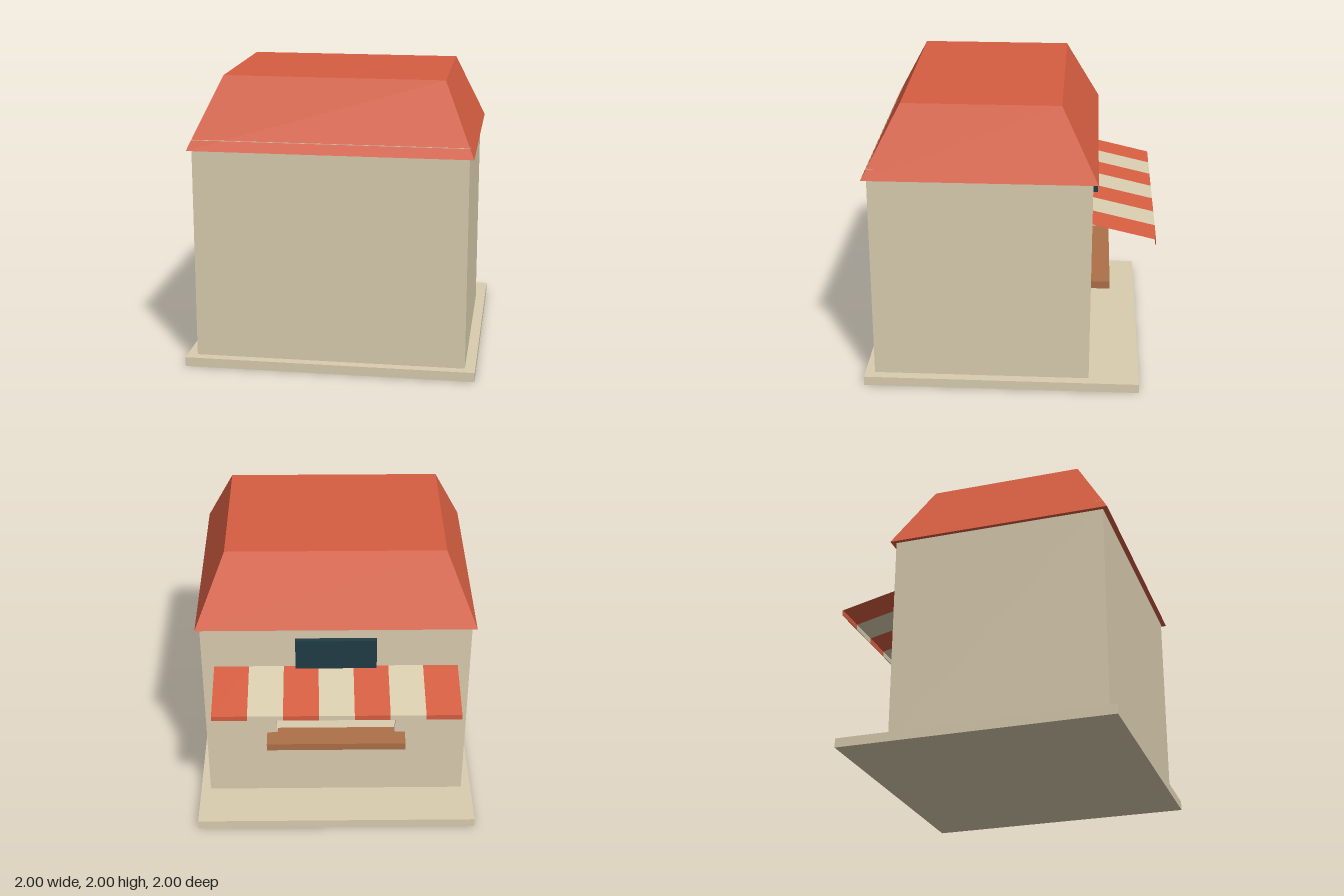
import * as THREE from 'three';

const mat = (name, color, extra = {}) => {
  const m = new THREE.MeshStandardMaterial({ color, ...extra });
  m.name = name;
  return m;
};

export function createModel() {
  const group = new THREE.Group();
  const cream = mat('cream', 0xdacdaf, { side: THREE.DoubleSide });
  const red = mat('terracotta red', 0xd65e41, { side: THREE.DoubleSide });
  const wood = mat('wood brown', 0xad7048);
  const dark = mat('dark teal', 0x203c45);

  const add = (name, geo, material) => {
    const mesh = new THREE.Mesh(geo, material);
    mesh.name = name;
    group.add(mesh);
    return mesh;
  };
  // box given by its minimum and maximum corners
  const box = (name, material, [x0, y0, z0], [x1, y1, z1]) => {
    const geo = new THREE.BoxGeometry(x1 - x0, y1 - y0, z1 - z0);
    geo.translate((x0 + x1) / 2, (y0 + y1) / 2, (z0 + z1) / 2);
    return add(name, geo, material);
  };

  const floorY = 0.065, eaveY = 1.525, t = 0.05;
  const wallX = 0.93, frontZ = 0.932, backZ = -0.57;

  // ground slab
  box('baseSlab', cream, [-1, 0, -0.92], [1, floorY, 1]);

  // front and side walls; the front one just reaches through the roof slope
  box('frontWall', cream, [-wallX, floorY, frontZ - t], [wallX, 1.595, frontZ]);
  for (const [name, s] of [['leftWall', 1], ['rightWall', -1]]) {
    const a = s * wallX, b = s * (wallX - t);
    box(name, cream, [Math.min(a, b), floorY, backZ + t], [Math.max(a, b), eaveY, frontZ - t]);
  }

  // back wall with the serving window
  const rect = (C, x, y0, y1) => new C([[-x, y0], [x, y0], [x, y1], [-x, y1]].map(p => new THREE.Vector2(...p)));
  const backShape = rect(THREE.Shape, wallX, floorY, eaveY);
  backShape.holes.push(rect(THREE.Path, 0.425, 0.575, 0.99));
  add('backWall', new THREE.ExtrudeGeometry(backShape, { depth: t, bevelEnabled: false }), cream)
    .position.z = backZ;

  // hipped roof: a box whose top corners are pulled inward
  const roofGeo = new THREE.BoxGeometry(2, 2, 2).toNonIndexed();
  const p = roofGeo.attributes.position;
  for (let i = 0; i < p.count; i++) {
    const top = p.getY(i) > 0, front = p.getZ(i) > 0;
    p.setXYZ(i,
      Math.sign(p.getX(i)) * (top ? 0.75 : 0.96),
      top ? 2 : eaveY,
      front ? (top ? 0.715 : 0.967) : (top ? -0.355 : -0.605));
  }
  roofGeo.computeVertexNormals();
  add('roof', roofGeo, red);

  // serving counter, with a narrower part resting in the window opening
  box('counter', wood, [-0.495, 0.55, -0.705], [0.495, 0.605, backZ]);
  box('counterSill', wood, [-0.42, 0.576, backZ], [0.42, 0.605, backZ + t]);

  // blank sign board above the awning
  box('signBoard', dark, [-0.28, 1.205, -0.607], [0.28, 1.435, backZ]);

  // striped awning: sloping sheets with a short hanging lip
  const stripes = 7, half = 0.845, w = (2 * half) / stripes;
  const rise = 0.1, run = 0.43;
  for (let i = 0; i < stripes; i++) {
    const x = -half + (i + 0.5) * w;
    const material = i % 2 ? cream : red;
    const sheet = new THREE.PlaneGeometry(w, Math.hypot(rise, run));
    sheet.rotateX(-Math.PI / 2 - Math.atan2(rise, run));
    sheet.translate(x, 1.15, backZ - run / 2);
    add('awningStripe', sheet, material);
    box('awningLip', material, [x - w / 2, 1.063, -1], [x + w / 2, 1.1, -0.995]);
  }
  return group;
}
